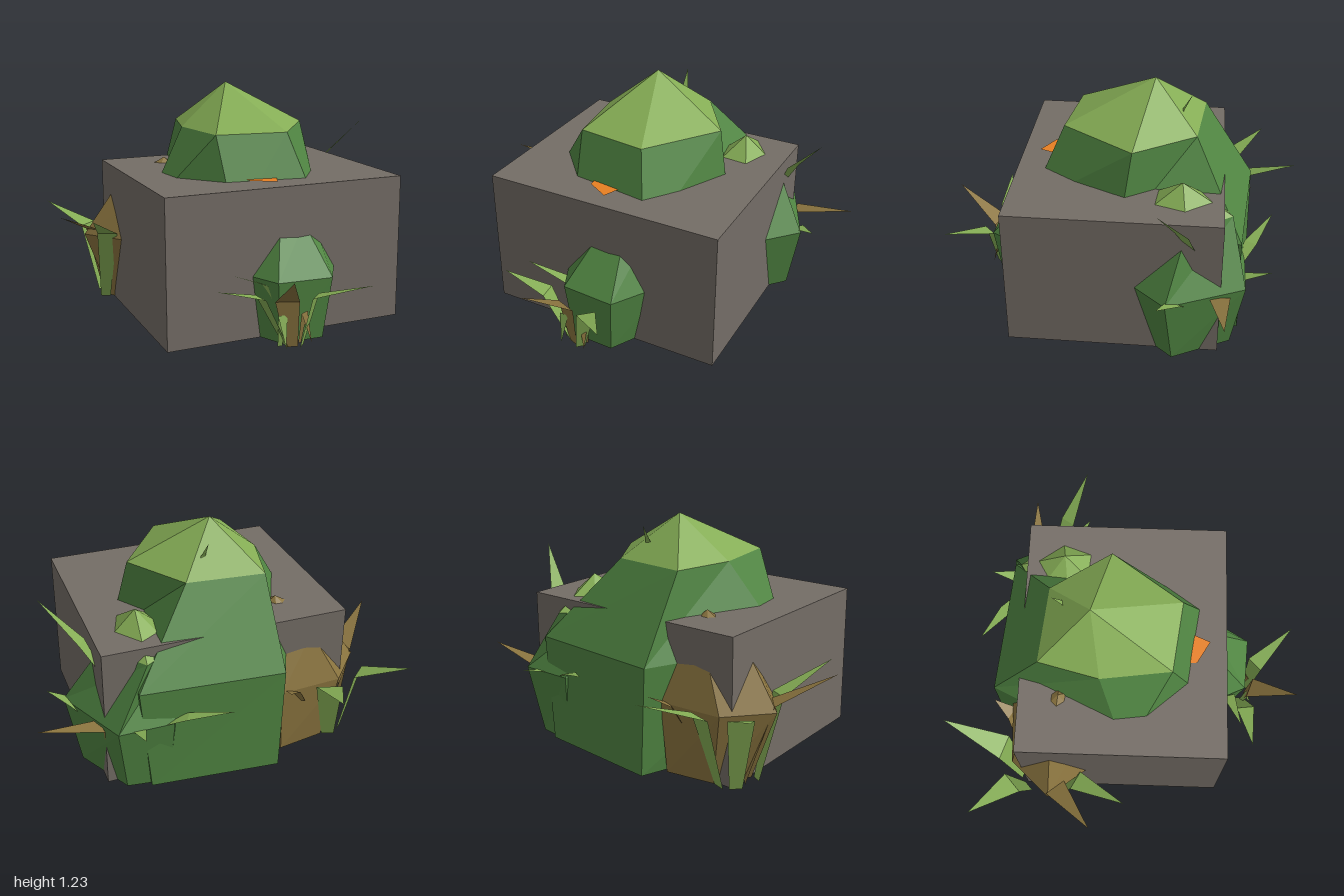
import * as THREE from 'three';

const GREEN = 0x508542, LIGHT = 0x85ad55, BROWN = 0x8a743f, STONE = 0x746d66, ORANGE = 0xe88022;

function facets(name, triangles, color, side = THREE.FrontSide) {
  const geo = new THREE.BufferGeometry();
  geo.setAttribute('position', new THREE.Float32BufferAttribute(triangles.flat(2), 3));
  geo.computeVertexNormals();
  const mesh = new THREE.Mesh(geo, new THREE.MeshStandardMaterial({ color, flatShading: true, side }));
  mesh.name = name;
  return mesh;
}

// Faceted bush: three six-sided rings [x, z], clockwise from above, closed by an apex
function bush(name, { base, mid, upper, yMid, yUpper, apex, body, cap }) {
  const lift = (ring, y) => ring.map(([x, z]) => [x, y, z]);
  const rings = [lift(base, 0.001), lift(mid, yMid), lift(upper, yUpper)];
  const sides = [], top = [], n = base.length;
  const centre = [0, 1].map(k => base.reduce((s, p) => s + p[k], 0) / n);
  for (let i = 0; i < n; i++) {
    const j = (i + 1) % n;
    for (let r = 0; r < 2; r++) {
      const lo = rings[r], hi = rings[r + 1];
      sides.push([hi[i], hi[j], lo[j]], [hi[i], lo[j], lo[i]]);
    }
    sides.push([[centre[0], 0.001, centre[1]], rings[0][i], rings[0][j]]);
    top.push([apex, rings[2][j], rings[2][i]]);
  }
  const g = new THREE.Group();
  g.name = name;
  g.add(facets(name + 'Body', sides, body), facets(name + 'Cap', top, cap));
  return g;
}

// Grass blade: tapered stem up to a wide knee, then a long outward point
function blade(root, knee, tip, color, width = 0.1) {
  const out = new THREE.Vector3(tip[0] - knee[0], 0, tip[2] - knee[2]).normalize();
  const pair = (p, w) => [1, -1].map(s => [p[0] - out.z * s * w / 2, p[1], p[2] + out.x * s * w / 2]);
  const [a, b] = pair(root, width * 0.5), [c, d] = pair(knee, width);
  return facets('grassBlade', [[a, b, d], [a, d, c], [c, d, tip]], color, THREE.DoubleSide);
}

function tuft(name, blades) {
  const g = new THREE.Group();
  g.name = name;
  blades.forEach(b => g.add(blade(...b)));
  return g;
}

export function createModel() {
  const model = new THREE.Group();
  model.name = 'overgrownBlock';

  // Stone block
  const block = new THREE.Mesh(new THREE.BoxGeometry(1.31, 0.77, 1.105),
    new THREE.MeshStandardMaterial({ color: STONE, flatShading: true }));
  block.name = 'stoneBlock';
  block.position.set(0, 0.385, -0.002);
  model.add(block);

  // Bushes growing through the block
  model.add(
    bush('largeBush', {
      base: [[-0.23, -0.725], [0.45, -0.66], [0.42, 0], [0.18, 0.42], [-0.2, 0.36], [-0.5, 0]],
      mid: [[-0.25, -0.715], [0.5, -0.65], [0.47, -0.02], [0.22, 0.49], [-0.24, 0.42], [-0.59, 0.02]],
      upper: [[-0.24, -0.44], [0.17, -0.4], [0.38, -0.08], [0.11, 0.3], [-0.27, 0.25], [-0.32, -0.12]],
      yMid: 0.57, yUpper: 1.0, apex: [-0.04, 1.23, -0.17], body: GREEN, cap: LIGHT,
    }),
    bush('leftBush', {
      base: [[0.35, -0.65], [0.57, -0.62], [0.73, -0.32], [0.55, -0.12], [0.25, -0.1], [0.15, -0.35]],
      mid: [[0.33, -0.68], [0.62, -0.68], [0.8, -0.28], [0.61, -0.07], [0.2, -0.05], [0.1, -0.35]],
      upper: [[0.27, -0.5], [0.44, -0.6], [0.61, -0.37], [0.52, -0.11], [0.28, -0.13], [0.22, -0.32]],
      yMid: 0.38, yUpper: 0.7, apex: [0.42, 0.87, -0.34], body: GREEN, cap: LIGHT,
    }),
    bush('frontBush', {
      base: [[-0.15, 0.25], [0.15, 0.25], [0.27, 0.42], [0.13, 0.68], [-0.1, 0.67], [-0.22, 0.42]],
      mid: [[-0.17, 0.2], [0.18, 0.2], [0.34, 0.42], [0.16, 0.72], [-0.13, 0.7], [-0.26, 0.42]],
      upper: [[-0.1, 0.3], [0.12, 0.3], [0.2, 0.42], [0.11, 0.5], [-0.03, 0.51], [-0.14, 0.42]],
      yMid: 0.325, yUpper: 0.56, apex: [0.02, 0.7, 0.4], body: GREEN, cap: LIGHT,
    }),
    bush('brownBush', {
      base: [[-0.56, -0.57], [-0.3, -0.61], [-0.1, -0.35], [-0.2, -0.1], [-0.53, -0.16], [-0.67, -0.4]],
      mid: [[-0.62, -0.61], [-0.28, -0.63], [-0.05, -0.35], [-0.15, -0.05], [-0.58, -0.1], [-0.81, -0.4]],
      upper: [[-0.48, -0.53], [-0.3, -0.52], [-0.15, -0.34], [-0.25, -0.15], [-0.48, -0.18], [-0.62, -0.38]],
      yMid: 0.38, yUpper: 0.65, apex: [-0.35, 0.8, -0.34], body: BROWN, cap: BROWN,
    }),
  );

  // Orange leaf lying on the block
  const leaf = [[-0.15, 0.3], [-0.14, 0.39], [-0.02, 0.46], [0.03, 0.34]].map(([x, z]) => [x, 0.778, z]);
  model.add(facets('orangeLeaf', [[leaf[0], leaf[1], leaf[2]], [leaf[0], leaf[2], leaf[3]]], ORANGE, THREE.DoubleSide));

  // Grass tufts: root, knee, tip, colour, width
  model.add(
    tuft('frontGrass', [
      [[-0.09, 0, 0.7], [-0.23, 0.27, 0.71], [-0.47, 0.34, 0.74], LIGHT],
      [[-0.08, 0, 0.66], [-0.17, 0.3, 0.61], [-0.37, 0.39, 0.67], LIGHT, 0.07],
      [[-0.02, 0, 0.74], [0.04, 0.26, 0.77], [0.24, 0.35, 0.98], LIGHT],
      [[-0.07, 0, 0.73], [-0.1, 0.24, 0.74], [-0.19, 0.42, 0.985], BROWN, 0.12],
      [[-0.01, 0, 0.7], [0.0, 0.17, 0.73], [0.02, 0.02, 0.77], BROWN, 0.05],
      [[-0.12, 0, 0.7], [-0.12, 0.17, 0.73], [-0.12, 0.01, 0.77], LIGHT, 0.05],
    ]),
    tuft('rightBackGrass', [
      [[-0.6, 0, -0.58], [-0.54, 0.38, -0.66], [-0.43, 0.52, -0.99], LIGHT, 0.14],
      [[-0.68, 0, -0.55], [-0.74, 0.39, -0.6], [-0.93, 0.5, -0.81], LIGHT, 0.13],
      [[-0.67, 0, -0.46], [-0.76, 0.41, -0.36], [-1.0, 0.55, -0.16], BROWN, 0.12],
      [[-0.7, 0, -0.4], [-0.72, 0.41, -0.25], [-0.865, 0.55, 0.02], LIGHT, 0.11],
      [[-0.4, 0.3, -0.62], [-0.34, 0.38, -0.63], [-0.28, 0.44, -0.73], BROWN, 0.08],
    ]),
    tuft('leftBackGrass', [
      [[0.64, 0.62, -0.4], [0.7, 0.74, -0.35], [0.885, 0.96, -0.235], LIGHT, 0.08],
      [[0.66, 0.25, -0.52], [0.67, 0.36, -0.55], [1.0, 0.42, -0.57], BROWN, 0.11],
      [[0.5, 0.3, -0.62], [0.51, 0.38, -0.67], [0.52, 0.42, -0.815], LIGHT, 0.07],
      [[0.4, 0.36, -0.64], [0.27, 0.43, -0.71], [0.07, 0.49, -0.83], LIGHT, 0.07],
      [[0.68, 0.3, -0.4], [0.76, 0.38, -0.33], [0.88, 0.42, -0.24], LIGHT, 0.08],
    ]),
    tuft('topGrass', [[[0.05, 1.0, -0.31], [0.05, 1.09, -0.32], [0.04, 1.18, -0.37], LIGHT, 0.03]]),
  );
  return model;
}
